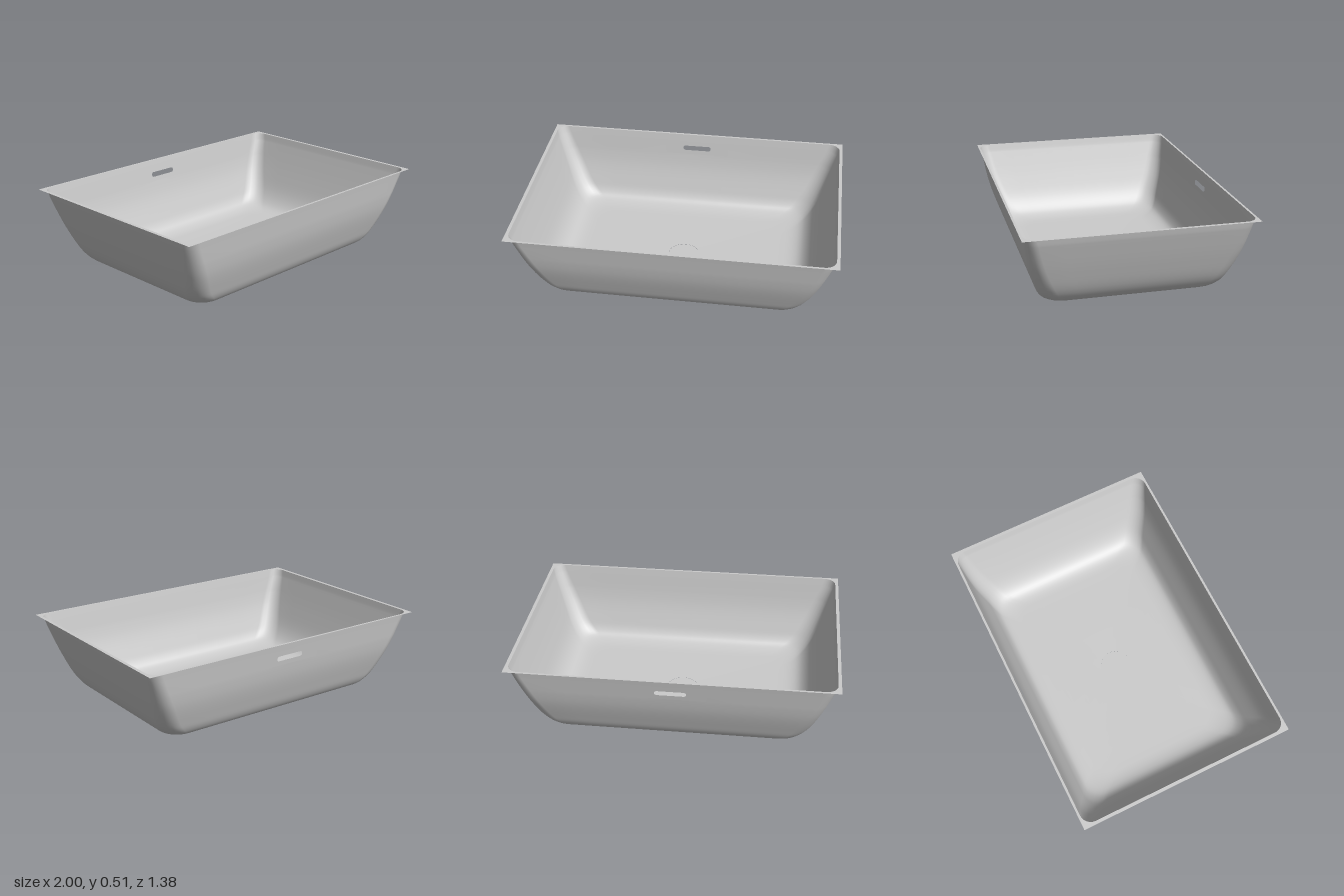
import * as THREE from 'three';

const ARC = 6, SIDE = 8;              // segments per corner and per straight side
const PER = ARC + SIDE, COUNT = PER * 4;
const RIM_Y = 0.508;
const DRAIN = { r: 0.1, z: 0.01, y: 0.002 };
const SLOT = { y: 0.41, half: 0.08, r: 0.016 };
const SLOT_ROW = 4, SLOT_COL = PER * 2 + ARC + 3; // wall cells left open for the overflow panel

// Wall profile from rim to floor: half width, height, half depth
const PROFILE = [
  [0.98, RIM_Y, 0.678], [0.967, 0.455, 0.669], [0.937, 0.365, 0.655],
  [0.9, 0.26, 0.632], [0.852, 0.14, 0.592], [0.812, 0.075, 0.566],
  [0.77, 0.035, 0.535], [0.71, 0.014, 0.47], [0.6, 0.008, 0.37],
].map((p) => new THREE.Vector3(...p));

// Rounded rectangle of points at one height
function ring(a, y, c) {
  const r = 0.07 + 0.05 * (1 - y / RIM_Y);
  const corner = (q, k) => {
    const sx = q === 0 || q === 3 ? 1 : -1, sz = q < 2 ? 1 : -1;
    const t = (q + k / ARC) * Math.PI / 2;
    return new THREE.Vector3(sx * (a - r) + r * Math.cos(t), y, sz * (c - r) + r * Math.sin(t));
  };
  const pts = [];
  for (let q = 0; q < 4; q++) {
    for (let k = 0; k <= ARC; k++) pts.push(corner(q, k));
    const from = corner(q, ARC), to = corner((q + 1) % 4, 0);
    for (let k = 1; k < SIDE; k++) pts.push(from.clone().lerp(to, k / SIDE));
  }
  return pts;
}

function makeRings() {
  const rings = [];
  const curve = new THREE.CatmullRomCurve3(PROFILE);
  const spans = PROFILE.length - 1;
  for (let s = 0; s < spans; s++) {
    const n = s === 1 ? 1 : 4;        // one tall row holds the overflow slot
    for (let k = 0; k < n; k++) {
      const p = curve.getPoint((s + k / n) / spans);
      rings.push(ring(p.x, p.y, p.z));
    }
  }
  const last = PROFILE[spans];
  const edge = ring(last.x, last.y, last.z);
  rings.push(edge);
  // Floor narrows from the rounded rectangle to the round drain
  for (let k = 1; k <= 6; k++) {
    rings.push(edge.map((p) => {
      const t = Math.atan2(p.z - DRAIN.z, p.x);
      const target = new THREE.Vector3(DRAIN.r * Math.cos(t), DRAIN.y, DRAIN.z + DRAIN.r * Math.sin(t));
      return p.clone().lerp(target, k / 6);
    }));
  }
  return rings;
}

function basinGeometry(rings) {
  const index = [];
  for (let j = 0; j < rings.length - 1; j++) {
    for (let i = 0; i < COUNT; i++) {
      if (j === SLOT_ROW && (i === SLOT_COL || i === SLOT_COL + 1)) continue;
      const n = (i + 1) % COUNT;
      const a = j * COUNT + i, b = j * COUNT + n, c = a + COUNT, d = b + COUNT;
      index.push(a, c, b, b, c, d);
    }
  }
  const g = new THREE.BufferGeometry().setFromPoints(rings.flat());
  g.setIndex(index);
  g.computeVertexNormals();
  return g;
}

// Piece of back wall pierced by the overflow slot
function overflowGeometry(rings) {
  const top = rings[SLOT_ROW], low = rings[SLOT_ROW + 1];
  const corners = [low[SLOT_COL], low[SLOT_COL + 2], top[SLOT_COL + 2], top[SLOT_COL]];
  const shape = new THREE.Shape(corners.map((p) => new THREE.Vector2(p.x, p.y)));
  const hole = new THREE.Path();
  hole.absarc(SLOT.half, SLOT.y, SLOT.r, -Math.PI / 2, Math.PI / 2, false);
  hole.absarc(-SLOT.half, SLOT.y, SLOT.r, Math.PI / 2, Math.PI * 1.5, false);
  hole.closePath();
  shape.holes.push(hole);
  const g = new THREE.ShapeGeometry(shape, 8);
  const pos = g.attributes.position;
  const [lo, , hi] = corners;
  for (let i = 0; i < pos.count; i++) {
    const t = (pos.getY(i) - lo.y) / (hi.y - lo.y);
    pos.setZ(i, THREE.MathUtils.lerp(lo.z, hi.z, t));
  }
  g.computeVertexNormals();
  return g;
}

// Thin rectangular rim around the opening
function rimGeometry(opening) {
  const x = 1, z = 0.692;
  const shape = new THREE.Shape([[-x, -z], [x, -z], [x, z], [-x, z]].map((p) => new THREE.Vector2(...p)));
  shape.holes.push(new THREE.Path(opening.map((p) => new THREE.Vector2(p.x, -p.z))));
  return new THREE.ShapeGeometry(shape).rotateX(-Math.PI / 2).translate(0, RIM_Y, 0);
}

export function createModel() {
  const group = new THREE.Group();
  group.name = 'basin';
  const material = new THREE.MeshStandardMaterial({ color: 0xcccccc, side: THREE.DoubleSide });
  const add = (name, geometry) => {
    const mesh = new THREE.Mesh(geometry, material);
    mesh.name = name;
    group.add(mesh);
  };
  const rings = makeRings();
  add('bowl', basinGeometry(rings));
  add('overflowPanel', overflowGeometry(rings));
  add('rim', rimGeometry(rings[0]));
  add('drainCover', new THREE.CircleGeometry(DRAIN.r, 48).rotateX(-Math.PI / 2).translate(0, 0, DRAIN.z));
  return group;
}
